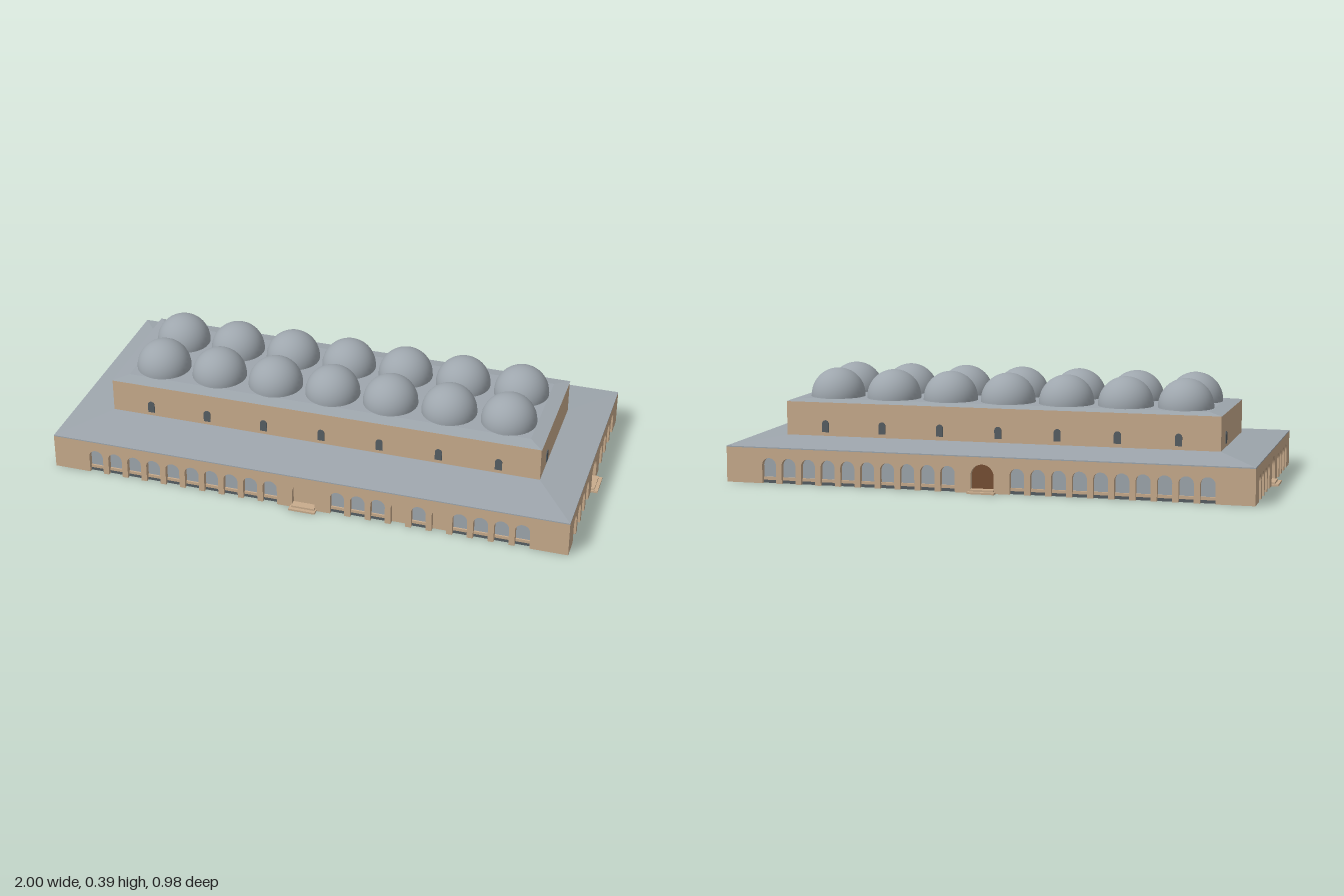
import * as THREE from 'three';

const mat = (name, color, extra = {}) => new THREE.MeshStandardMaterial({ name, color, ...extra });

export function createModel() {
  const stone = mat('sandstone', 0xc8ab8c);
  const lead = mat('leadGrey', 0x9ea6ad);
  const slate = mat('darkSlate', 0x565e63);
  const wood = mat('doorWood', 0x764f34);
  const model = new THREE.Group();
  model.name = 'domedHall';

  const add = (parent, name, geo, material, x = 0, y = 0, z = 0) => {
    const m = new THREE.Mesh(geo, material);
    m.name = name;
    m.position.set(x, y, z);
    parent.add(m);
    return m;
  };
  const box = (parent, name, material, w, h, d, x, y, z) =>
    add(parent, name, new THREE.BoxGeometry(w, h, d), material, x, y + h / 2, z);
  const extrude = (shape, depth) =>
    new THREE.ExtrudeGeometry(shape, { depth, bevelEnabled: false, curveSegments: 14 });

  // Round-headed outline standing on y = 0
  const archPath = (s, c, w, h) => {
    const r = w / 2;
    s.lineTo(c - r, 0);
    s.lineTo(c - r, h - r);
    s.absarc(c, h - r, r, Math.PI, 0, true);
    s.lineTo(c + r, 0);
  };
  const archShape = (w, h) => {
    const s = new THREE.Shape();
    s.moveTo(-w / 2, 0);
    archPath(s, 0, w, h);
    return s;
  };

  // Box whose top rectangle is smaller than its base
  const hipped = (w, d, w2, d2, h) => {
    const g = new THREE.BoxGeometry(w, h, d).toNonIndexed();
    const p = g.attributes.position;
    for (let i = 0; i < p.count; i++) {
      if (p.getY(i) > 0) p.setXYZ(i, Math.sign(p.getX(i)) * w2 / 2, h / 2, Math.sign(p.getZ(i)) * d2 / 2);
    }
    g.computeVertexNormals();
    return g;
  };

  const X = 0.975, Z = 0.463, T = 0.025, WALL = 0.13;
  const archW = 0.054, archH = 0.094, doorW = 0.086, doorH = 0.104;

  // One arcade wall facing local +z; fills maps an opening index to another filling
  const arcade = (name, half, dist, angle, count, first, doorMat, fills = {}) => {
    const g = new THREE.Group();
    g.name = name;
    g.rotation.y = angle;
    model.add(g);
    const right = Array.from({ length: count }, (_, i) => first + i * 0.0757);
    const centres = [...right.map((v) => -v).reverse(), ...right];

    const s = new THREE.Shape();
    s.moveTo(-half, 0);
    centres.forEach((c, i) => {
      if (i === count) archPath(s, 0, doorW, doorH);
      archPath(s, c, archW, archH);
    });
    s.lineTo(half, 0);
    s.lineTo(half, WALL);
    s.lineTo(-half, WALL);
    s.closePath();
    add(g, 'arcadeWall', extrude(s, T), stone, 0, 0, dist - T);

    // Recessed window panels with sills and plinths
    const pane = extrude(archShape(archW, archH), 0.004);
    centres.forEach((c, i) => {
      if (fills[i] === 'open') return;
      add(g, 'archPanel', pane, fills[i] || lead, c, 0, dist - T + 0.001);
      if (fills[i]) return;
      box(g, 'windowSill', stone, archW, 0.011, 0.008, c, 0.011, dist - T + 0.007);
      box(g, 'windowPlinth', slate, archW, 0.011, 0.008, c, 0, dist - T + 0.007);
    });

    // Doorway and steps
    add(g, 'door', extrude(archShape(doorW, doorH), 0.004), doorMat, 0, 0, dist - T + 0.001);
    box(g, 'lowerStep', stone, 0.1, 0.007, 0.04, 0, 0, dist + 0.005);
    box(g, 'upperStep', stone, 0.088, 0.007, 0.03, 0, 0.007, dist - 0.003);
  };

  arcade('frontArcade', X, Z, 0, 10, 0.128, stone, { 13: stone, 15: stone });
  arcade('backArcade', X, Z, Math.PI, 10, 0.128, wood);
  arcade('rightArcade', Z - T, X, Math.PI / 2, 4, 0.128, wood, { 7: 'open' });
  arcade('leftArcade', Z - T, X, -Math.PI / 2, 4, 0.128, wood, { 0: 'open' });

  // Floor and lower hipped roof
  box(model, 'floor', stone, 2 * (X - T), 0.002, 2 * (Z - T), 0, 0, 0);
  box(model, 'roofEdge', lead, 2 * X, 0.004, 2 * Z, 0, WALL, 0);
  add(model, 'lowerRoof', hipped(2 * X, 2 * Z, 1.64, 0.5, 0.017), lead, 0, WALL + 0.0125, 0);

  // Upper hall and its low roof
  box(model, 'upperHall', stone, 1.64, 0.13, 0.498, 0, 0.147, 0);
  add(model, 'upperRoof', hipped(1.644, 0.502, 1.54, 0.4, 0.008), lead, 0, 0.281, 0);

  // Small arched windows of the upper hall
  const smallWindow = extrude(archShape(0.026, 0.045), 0.004);
  const upperWindow = (x, z, angle) => {
    add(model, 'upperWindow', smallWindow, slate, x, 0.165, z).rotation.y = angle;
  };

  // Domes in two rows of seven
  const dome = new THREE.SphereGeometry(0.102, 32, 12, 0, Math.PI * 2, 0, Math.PI / 2);
  for (let i = -3; i <= 3; i++) {
    const x = i * 0.2225;
    upperWindow(x, 0.248, 0);
    upperWindow(x, -0.248, Math.PI);
    for (const side of [-1, 1]) {
      add(model, 'dome', dome, lead, x, 0.29, side * 0.103);
      add(model, 'domeDrum', new THREE.CylinderGeometry(0.102, 0.102, 0.007, 32, 1, true), lead, x, 0.2865, side * 0.103);
    }
  }
  upperWindow(0.819, 0.14, Math.PI / 2);
  upperWindow(-0.819, -0.14, -Math.PI / 2);

  return model;
}
